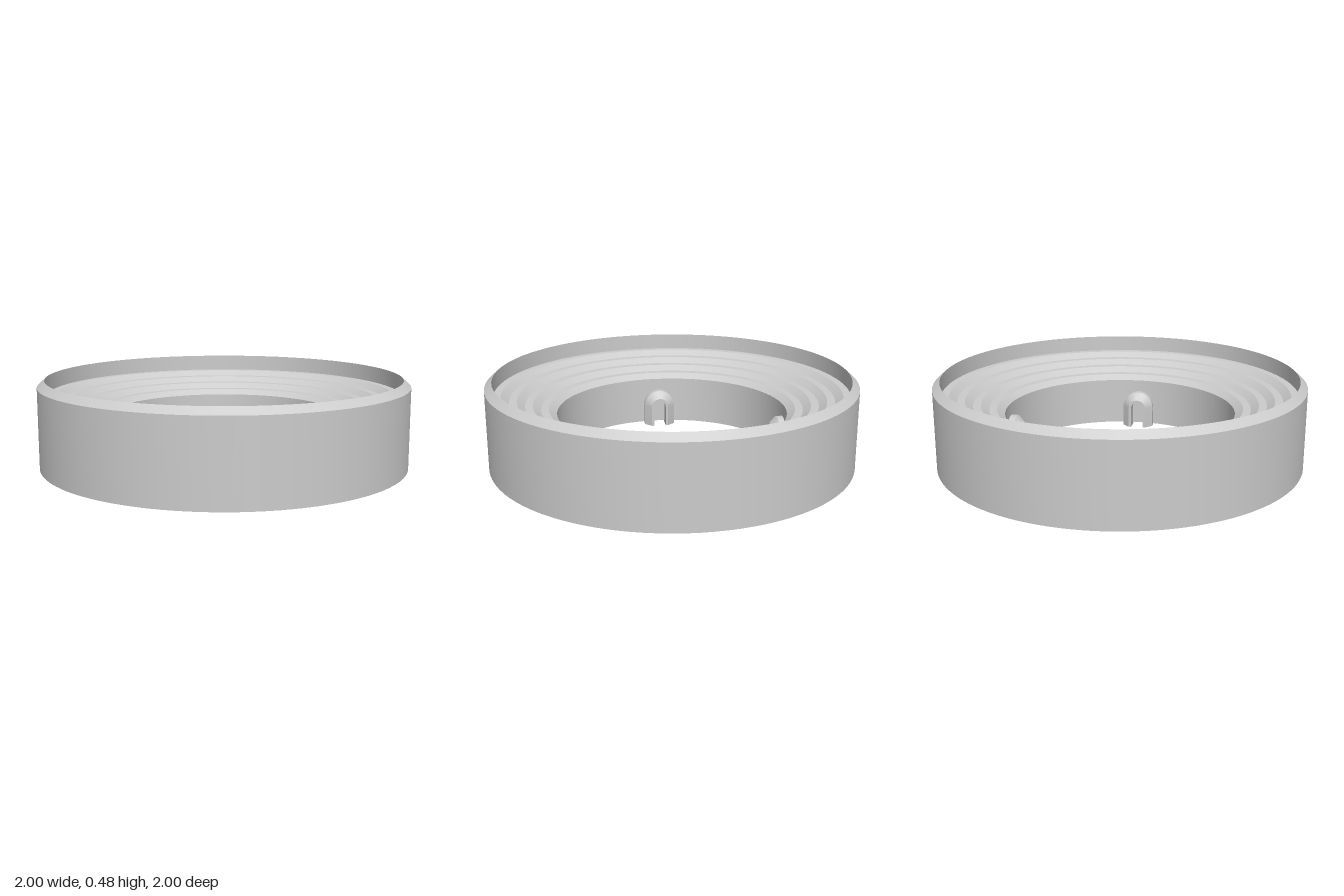
import * as THREE from 'three';
import { toCreasedNormals } from 'three/addons/utils/BufferGeometryUtils.js';

const material = new THREE.MeshStandardMaterial({ color: 0xcccccc });

// Ring body: chamfered rim, deep inner wall, then four ledges stepping down to the hole
function ringGeometry() {
  const base = 0.01, hole = 0.625, rim = 0.96, ledgeY = 0.39;
  const steps = 4, pitch = (rim - hole) / steps, drop = 0.028;
  const profile = [[hole, base], [1, base], [1, 0.445], [rim, 0.48]];
  for (let i = 0; i < steps; i++) {
    const r = rim - i * pitch, y = ledgeY - i * drop;
    profile.push([r, y], [r - pitch / 2, y]);
  }
  profile.push([hole, ledgeY - steps * drop], [hole, base]);
  const points = profile.map(([r, y]) => new THREE.Vector2(r, y));
  return toCreasedNormals(new THREE.LatheGeometry(points, 128), 0.3);
}

// Arched lug: a chamfered section swept up one leg, over the arch and down the other
function lugGeometry() {
  const springY = 0.12, arcSteps = 16;
  // [half width, z]
  const section = [[0.09, -0.63], [0.09, -0.59], [0.05, -0.55], [0.035, -0.55], [0.035, -0.63]];
  const n = section.length;
  const positions = [], index = [];

  const addRow = (angle, y) => {
    for (const [w, z] of section) {
      positions.push(-w * Math.cos(angle), y + w * Math.sin(angle), z);
    }
  };
  addRow(0, 0);
  for (let j = 0; j <= arcSteps; j++) addRow((Math.PI * j) / arcSteps, springY);
  addRow(Math.PI, -0);

  const rows = arcSteps + 3;
  for (let j = 0; j < rows - 1; j++) {
    for (let i = 0; i < n; i++) {
      const k = (i + 1) % n;
      const a = j * n + i, b = j * n + k, c = a + n, d = b + n;
      index.push(a, b, c, b, d, c);
    }
  }
  // Feet of the two legs
  const last = (rows - 1) * n;
  for (let i = 1; i < n - 1; i++) {
    index.push(0, i + 1, i);
    index.push(last, last + i, last + i + 1);
  }

  const geometry = new THREE.BufferGeometry();
  geometry.setAttribute('position', new THREE.Float32BufferAttribute(positions, 3));
  geometry.setIndex(index);
  return toCreasedNormals(geometry, 0.5);
}

export function createModel() {
  const model = new THREE.Group();
  model.name = 'steppedRing';

  const ring = new THREE.Mesh(ringGeometry(), material);
  ring.name = 'ringBody';
  model.add(ring);

  // Four lugs spaced evenly around the hole
  const lugShape = lugGeometry();
  ['backLug', 'rightLug', 'frontLug', 'leftLug'].forEach((name, i) => {
    const lug = new THREE.Mesh(lugShape, material);
    lug.name = name;
    lug.rotation.y = (i * Math.PI) / 2;
    model.add(lug);
  });

  return model;
}
